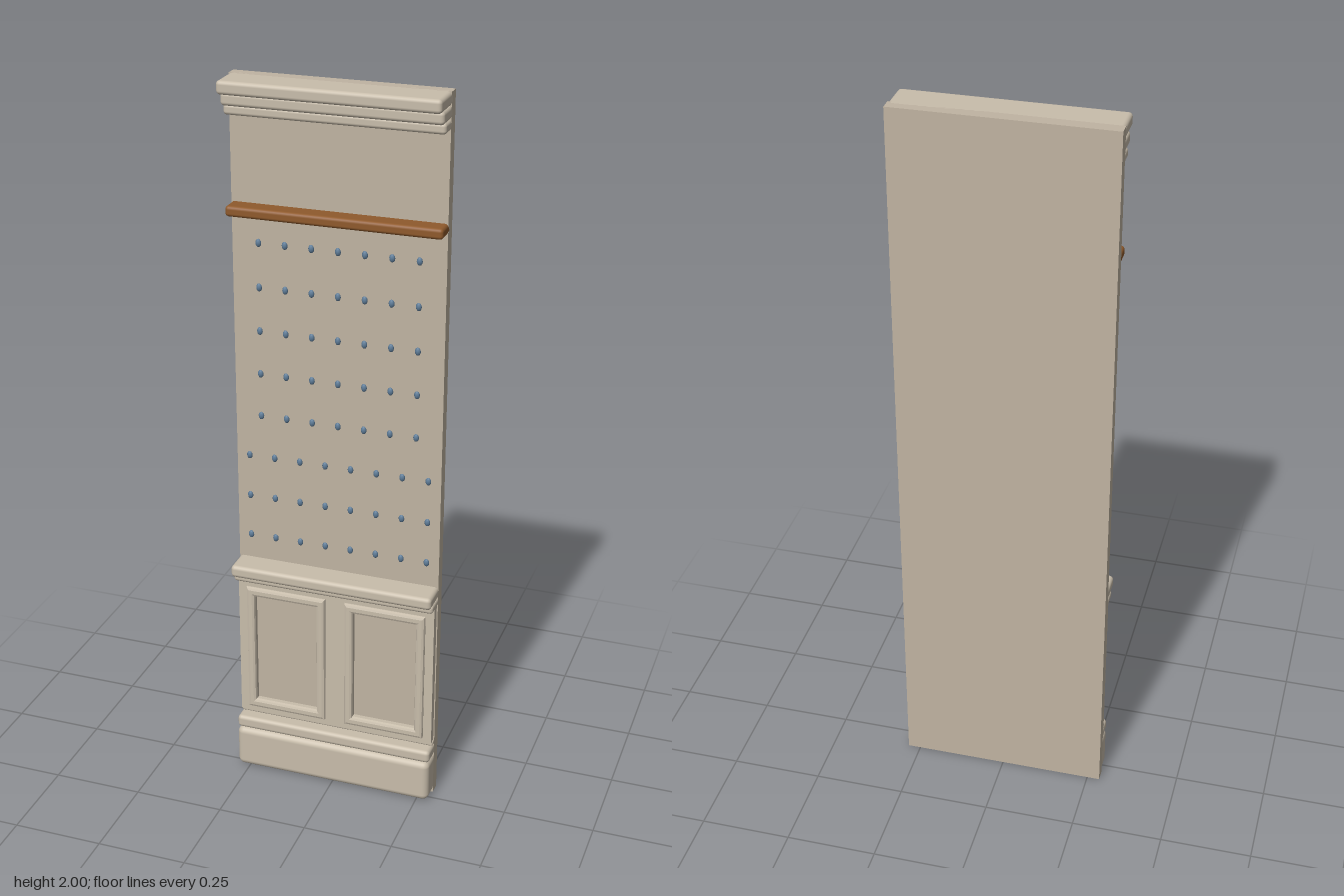
import * as THREE from 'three';
import { RoundedBoxGeometry } from 'three/addons/geometries/RoundedBoxGeometry.js';

const WIDTH = 0.57, BACK = -0.06, FACE = -0.027;

function material(name, color) {
  const m = new THREE.MeshStandardMaterial({ color });
  m.name = name;
  return m;
}

// Rectangle path, used both for outlines and for holes
function rect(PathType, x0, x1, y0, y1) {
  const p = new PathType();
  p.moveTo(x0, y0);
  p.lineTo(x1, y0);
  p.lineTo(x1, y1);
  p.lineTo(x0, y1);
  p.closePath();
  return p;
}

export function createModel() {
  const root = new THREE.Group();
  root.name = 'wallPanel';
  const plaster = material('plaster', 0xc0b4a2);
  const trim = material('paintedTrim', 0xc8bdab);
  const wood = material('wood', 0x8f5a2c);
  const blue = material('blueStud', 0x5f7d99);

  function add(name, geometry, mat, x = 0, y = 0, z = 0, parent = root) {
    const mesh = new THREE.Mesh(geometry, mat);
    mesh.name = name;
    mesh.position.set(x, y, z);
    parent.add(mesh);
    return mesh;
  }

  // Rounded horizontal moulding whose back is buried in the wall
  function moulding(name, y0, y1, front, radius, mat = trim, width = WIDTH) {
    const back = FACE - 0.018, depth = front - back;
    add(name, new RoundedBoxGeometry(width, y1 - y0, depth, 3, radius), mat,
      0, (y0 + y1) / 2, (front + back) / 2);
  }

  // Wall slab
  add('wall', new THREE.BoxGeometry(WIDTH, 2, FACE - BACK), plaster, 0, 1, (FACE + BACK) / 2);

  // Stepped cornice
  moulding('corniceTop', 1.965, 2, 0.06, 0.01);
  moulding('corniceMiddle', 1.932, 1.966, 0.035, 0.01);
  moulding('corniceBottom', 1.905, 1.933, 0.016, 0.009);

  // Wooden picture rail
  moulding('pictureRail', 1.646, 1.674, 0.021, 0.009, wood);

  // Chair rail
  moulding('chairRailTop', 0.625, 0.66, 0.046, 0.011);
  moulding('chairRailBottom', 0.603, 0.627, 0.025, 0.009);

  // Baseboard with cap and a thin bead above it
  moulding('baseboard', 0.003, 0.127, 0.03, 0.018);
  moulding('baseCap', 0.126, 0.163, 0.024, 0.011);
  moulding('baseBead', 0.161, 0.178, -0.012, 0.006);

  // Wainscot: stiles and rails around two recessed panels, each with a bevelled frame
  const board = rect(THREE.Shape, -0.282, 0.282, 0.175, 0.605);
  const frames = new THREE.Group();
  frames.name = 'panelFrames';
  root.add(frames);
  for (const side of [-1, 1]) {
    const cx = side * 0.143;
    board.holes.push(rect(THREE.Path, cx - 0.1, cx + 0.1, 0.205, 0.562));
    const frame = rect(THREE.Shape, cx - 0.115, cx + 0.115, 0.19, 0.577);
    frame.holes.push(rect(THREE.Path, cx - 0.09, cx + 0.09, 0.217, 0.55));
    add('panelFrame', new THREE.ExtrudeGeometry(frame, {
      depth: 0.014, bevelThickness: 0.008, bevelSize: 0.008, bevelOffset: -0.008, bevelSegments: 2,
    }), trim, 0, 0, -0.017, frames);
    add('recessedPanel', new THREE.BoxGeometry(0.206, 0.363, 0.012), plaster, cx, 0.3835, -0.021);
  }
  add('wainscotBoard', new THREE.ExtrudeGeometry(board, { depth: 0.022, bevelEnabled: false }),
    trim, 0, 0, FACE);

  // Studs: five upper rows of seven, three lower rows of eight
  const studs = new THREE.Group();
  studs.name = 'studs';
  root.add(studs);
  const studGeometry = new THREE.SphereGeometry(1, 8, 6);
  studGeometry.scale(0.008, 0.011, 0.006);
  for (let row = 0; row < 8; row++) {
    const count = row < 5 ? 7 : 8;
    for (let i = 0; i < count; i++) {
      add('stud', studGeometry, blue, (i - (count - 1) / 2) * 0.0714, 1.57 - row * 0.12, FACE, studs);
    }
  }
  return root;
}
